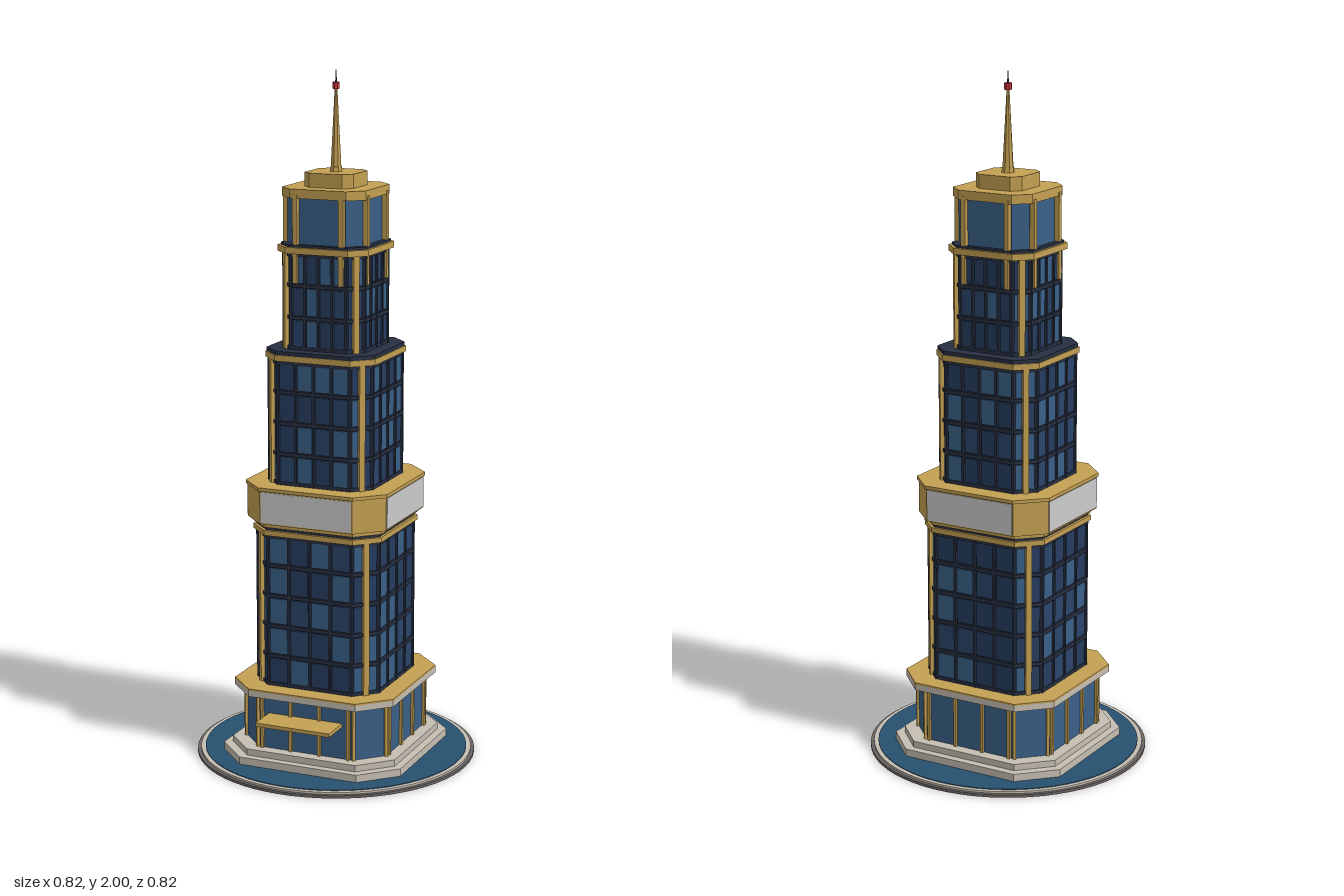
import * as THREE from 'three';

const mat = (color) => new THREE.MeshStandardMaterial({ color, flatShading: true });
const GOLD = mat(0xc4a052), STONE = mat(0xc6beb2), WHITE = mat(0xe2e2e2), DARK = mat(0x272f42);
const GLASS = mat(0x263d60), GLASS_MID = mat(0x2b456b), GLASS_LIGHT = mat(0x3a6088), WATER = mat(0x26506f);
const RIM = mat(0x6a6462), RED = mat(0xc8323c);

let seed = 7;
const rand = () => (seed = (seed * 16807) % 2147483647) / 2147483647;

export function createModel() {
  const tower = new THREE.Group();
  tower.name = 'tower';

  const add = (name, geometry, material, x = 0, y = 0, z = 0, parent = tower) => {
    const mesh = new THREE.Mesh(geometry, material);
    mesh.name = name;
    mesh.position.set(x, y, z);
    parent.add(mesh);
    return mesh;
  };
  const box = (name, w, h, d, material, x, y, z, parent) =>
    add(name, new THREE.BoxGeometry(w, h, d), material, x, y, z, parent);
  const disc = (name, r0, r1, y0, y1, material, sides = 64) =>
    add(name, new THREE.CylinderGeometry(r1, r0, y1 - y0, sides), material, 0, (y0 + y1) / 2, 0);

  // Square slab with cut corners: half = half width, flat = half length of the straight side
  const slab = (name, half, flat, y0, y1, material) => {
    const a = half, b = flat;
    const shape = new THREE.Shape([[a, -b], [a, b], [b, a], [-b, a], [-a, b], [-a, -b], [-b, -a], [b, -a]]
      .map(([x, y]) => new THREE.Vector2(x, y)));
    const geometry = new THREE.ExtrudeGeometry(shape, { depth: y1 - y0, bevelEnabled: false });
    geometry.rotateX(-Math.PI / 2);
    return add(name, geometry, material, 0, y0, 0);
  };

  // Repeat a piece of facade on four sides, optionally turned to the cut corners
  const fourSides = (name, build, turn = 0) => {
    for (let i = 0; i < 4; i++) {
      const side = new THREE.Group();
      side.name = name;
      side.rotation.y = turn + i * Math.PI / 2;
      tower.add(side);
      build(side, i);
    }
  };

  // Round pool and stepped plinth
  disc('poolBase', 0.41, 0.41, 0, 0.008, RIM);
  disc('poolRim', 0.4, 0.4, 0.008, 0.014, STONE);
  disc('water', 0.387, 0.387, 0.014, 0.016, WATER);
  slab('lowerStep', 0.28, 0.183, 0.012, 0.038, STONE);
  slab('upperStep', 0.257, 0.17, 0.038, 0.057, STONE);

  // Glazed podium with slim gold posts
  slab('podiumGlass', 0.222, 0.147, 0.057, 0.215, GLASS_LIGHT);
  fourSides('podiumPosts', (side) => {
    for (const x of [-0.135, -0.045, 0.045, 0.135])
      box('podiumPost', 0.009, 0.158, 0.014, GOLD, x, 0.136, 0.223, side);
  });
  fourSides('podiumCornerPosts', (side) => {
    for (const x of [-0.05, 0.05])
      box('podiumPost', 0.009, 0.158, 0.014, GOLD, x, 0.136, (0.222 + 0.147) / Math.SQRT2, side);
  }, Math.PI / 4);
  slab('podiumCornice', 0.25, 0.167, 0.215, 0.233, STONE);
  slab('podiumRoof', 0.25, 0.167, 0.233, 0.238, GOLD);
  box('canopy', 0.23, 0.011, 0.1, GOLD, 0, 0.158, 0.265);

  // Tower stage: glass core, wrapped floor bands, mullions and varied panes
  const stage = (half, flat, y0, y1, rows) => {
    const height = y1 - y0, mid = (y0 + y1) / 2, rowH = height / rows;
    const cols = 4, colW = 2 * flat / cols;
    const cutZ = (half + flat) / Math.SQRT2, cutHalf = (half - flat) / Math.SQRT2;
    slab('stageCore', half, flat, y0, y1, DARK);
    for (let r = 0; r <= rows; r++) {
      const y = Math.min(Math.max(y0 + r * rowH, y0 + 0.005), y1 - 0.005);
      slab('floorBand', half + 0.007, flat + 0.003, y - 0.005, y + 0.005, DARK);
    }
    fourSides('stageFacade', (side) => {
      for (let c = 0; c <= cols; c++)
        box('mullion', 0.007, height, 0.012, DARK, -flat + c * colW, mid, half + 0.002, side);
      for (let r = 0; r < rows; r++) for (let c = 0; c < cols; c++) {
        const pick = rand();
        box('windowPane', colW - 0.012, rowH - 0.017, 0.006,
          pick < 0.45 ? GLASS : pick < 0.65 ? GLASS_MID : GLASS_LIGHT,
          -flat + (c + 0.5) * colW, y0 + (r + 0.5) * rowH, half + 0.0005, side);
      }
    });
    fourSides('stageCorner', (side) => {
      box('cornerPost', 0.017, height, 0.022, GOLD, 0, mid, cutZ + 0.003, side);
      for (let r = 0; r < rows; r++) for (const s of [-1, 1])
        box('cornerPane', cutHalf - 0.016, rowH - 0.017, 0.006, rand() < 0.6 ? GLASS : GLASS_LIGHT,
          s * (cutHalf + 0.006) / 2, y0 + (r + 0.5) * rowH, cutZ + 0.0005, side);
    }, Math.PI / 4);
  };

  // Lower stage and its trim
  stage(0.186, 0.13, 0.238, 0.688, 5);
  slab('lowerTrim', 0.2, 0.138, 0.688, 0.703, GOLD);
  slab('lowerLedge', 0.192, 0.134, 0.703, 0.712, DARK);
  slab('bandFoot', 0.2, 0.138, 0.712, 0.725, GOLD);

  // Projecting band with white panels between gold corners
  slab('band', 0.216, 0.143, 0.725, 0.825, GOLD);
  fourSides('bandPanels', (side) => {
    box('whitePanel', 0.28, 0.09, 0.005, WHITE, 0, 0.774, 0.2155, side);
  });
  slab('bandRoof', 0.22, 0.146, 0.822, 0.832, GOLD);

  // Middle stage and its trim
  stage(0.156, 0.11, 0.832, 1.192, 4);
  slab('middleTrim', 0.169, 0.116, 1.192, 1.209, GOLD);
  slab('middleRoof', 0.166, 0.114, 1.209, 1.22, DARK);

  // Upper stage and its trim
  stage(0.12, 0.084, 1.22, 1.495, 3);
  slab('upperTrim', 0.139, 0.095, 1.495, 1.513, GOLD);
  slab('upperRoof', 0.131, 0.09, 1.513, 1.52, DARK);

  // Crown with gold piers that run down over the upper stage
  slab('crownGlass', 0.115, 0.078, 1.52, 1.655, GLASS_LIGHT);
  fourSides('crownPiers', (side) => {
    for (const x of [-0.07, 0.07]) box('pier', 0.014, 0.25, 0.02, GOLD, x, 1.535, 0.12, side);
  });
  slab('crownRoof', 0.128, 0.086, 1.65, 1.676, GOLD);
  slab('crownCap', 0.075, 0.05, 1.676, 1.716, GOLD);

  // Spire, beacon and needle
  disc('spireFoot', 0.019, 0.017, 1.716, 1.73, GOLD, 8);
  disc('spire', 0.016, 0.004, 1.73, 1.95, GOLD, 8);
  disc('beacon', 0.011, 0.011, 1.947, 1.966, RED, 8);
  disc('needle', 0.0025, 0.0015, 1.96, 2, DARK, 6);

  return tower;
}
